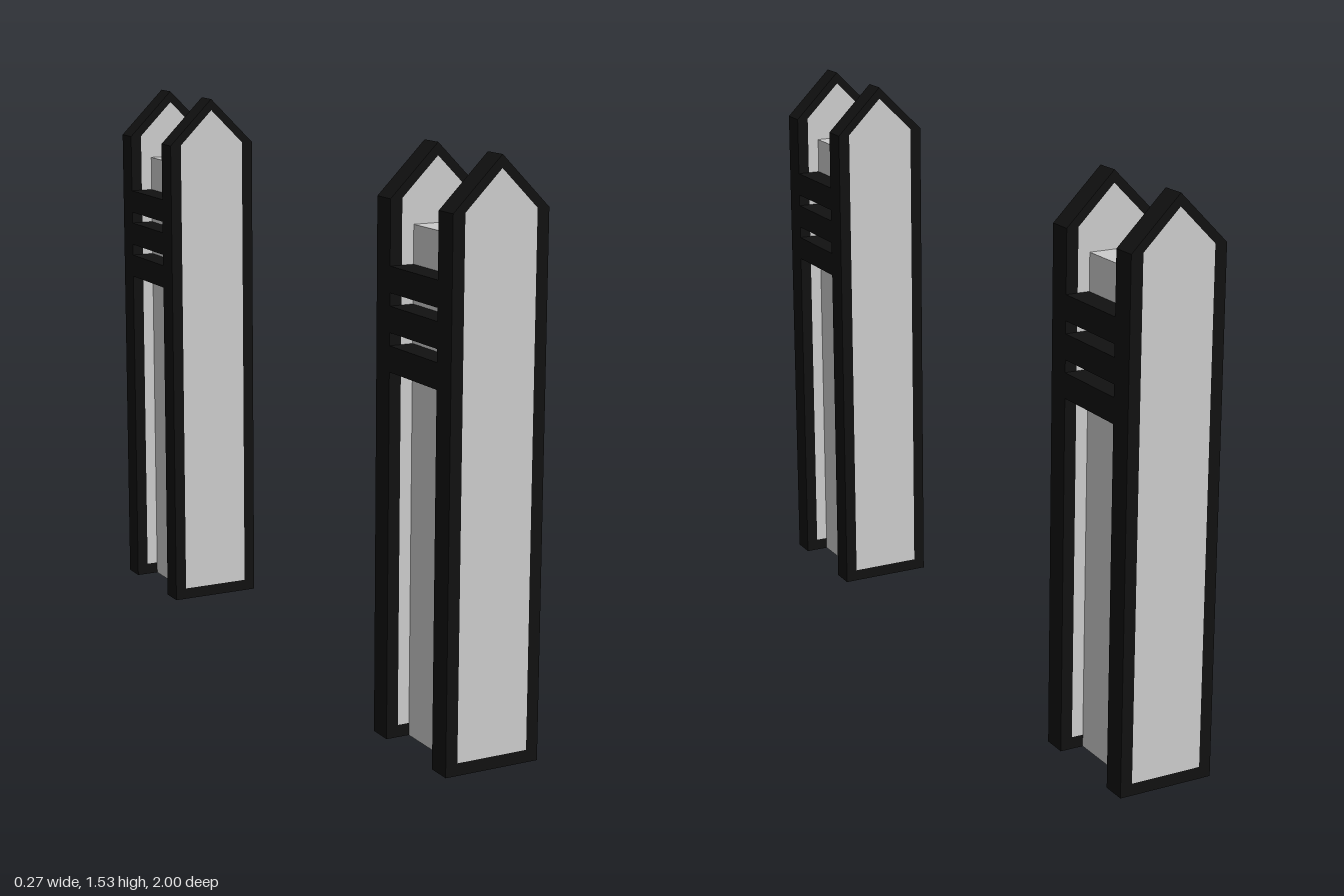
import * as THREE from 'three';

const grey = new THREE.MeshStandardMaterial({ color: 0xcccccc });
const black = new THREE.MeshStandardMaterial({ color: 0x111111 });

const PLATE = 0.067; // plate thickness
const GAP = 0.233;   // space between the two plates of a post

// Pointed outline shared by the frame, its opening and the panel
function trace(path, halfWidth, bottom, shoulder, apex) {
  path.moveTo(-halfWidth, bottom);
  path.lineTo(halfWidth, bottom);
  path.lineTo(halfWidth, shoulder);
  path.lineTo(0, apex);
  path.lineTo(-halfWidth, shoulder);
  path.closePath();
  return path;
}

function addMesh(parent, name, geometry, material, x = 0, y = 0, z = 0) {
  const mesh = new THREE.Mesh(geometry, material);
  mesh.name = name;
  mesh.position.set(x, y, z);
  parent.add(mesh);
  return mesh;
}

// Pointed board: dark border with a flush panel showing on both faces
function createPlate() {
  const plate = new THREE.Group();
  plate.name = 'pointedPlate';
  const options = { depth: PLATE, bevelEnabled: false };
  const border = trace(new THREE.Shape(), 0.133, 0, 1.4, 1.533);
  border.holes.push(trace(new THREE.Path(), 0.1, 0.033, 1.4, 1.5));
  const panel = trace(new THREE.Shape(), 0.1, 0.033, 1.4, 1.5);
  addMesh(plate, 'plateBorder', new THREE.ExtrudeGeometry(border, options), black, 0, 0, -PLATE / 2);
  addMesh(plate, 'platePanel', new THREE.ExtrudeGeometry(panel, options), grey, 0, 0, -PLATE / 2);
  return plate;
}

// Post: two plates, a core between them and three bars on each side
function createPost() {
  const post = new THREE.Group();
  post.name = 'post';
  for (const side of [-1, 1]) {
    const plate = createPlate();
    plate.position.z = side * (GAP + PLATE) / 2;
    post.add(plate);
    for (const y of [1.0, 1.1, 1.2]) {
      addMesh(post, 'sideBar', new THREE.BoxGeometry(0.066, 0.067, GAP), black, side * 0.1, y, 0);
    }
  }
  addMesh(post, 'core', new THREE.BoxGeometry(0.134, 1.333, GAP), grey, 0, 0.6665, 0);
  return post;
}

export function createModel() {
  const model = new THREE.Group();
  model.name = 'gatePosts';
  for (const side of [-1, 1]) {
    const post = createPost();
    post.position.z = side * 0.8165;
    model.add(post);
  }
  return model;
}
